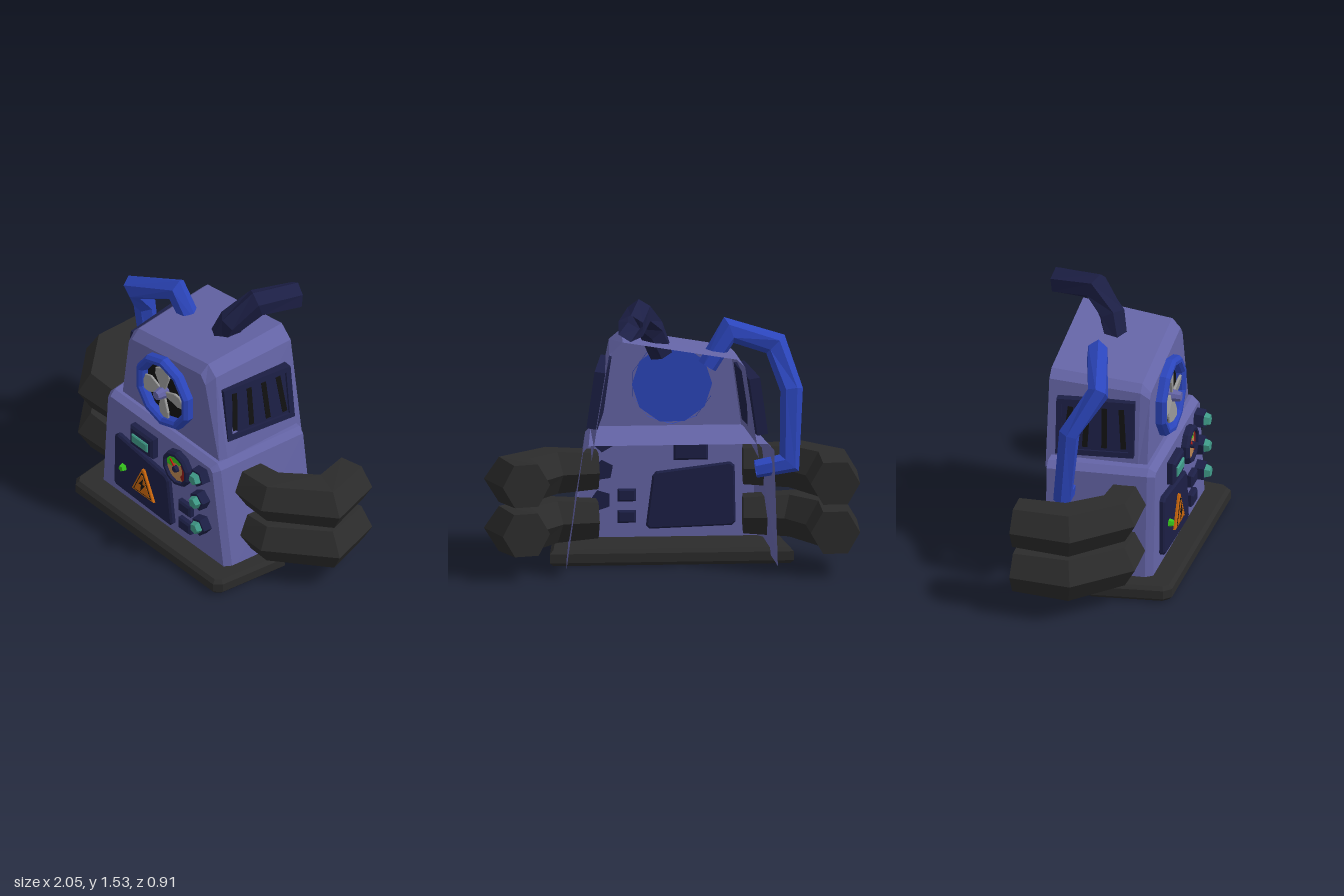
import * as THREE from 'three';

const C = {
  body: 0x6464a6, navy: 0x1c1f45, blue: 0x2b45bb, black: 0x2b2b2b, dark: 0x111111,
  teal: 0x3f9a88, orange: 0xc8650c, tan: 0xb88450, green: 0x35c41c, red: 0x8c1c18, steel: 0x999999,
};
const V = (x, y, z) => new THREE.Vector3(x, y, z);

function add(parent, geometry, color, name, x = 0, y = 0, z = 0) {
  const mat = new THREE.MeshStandardMaterial({ color, flatShading: true, side: THREE.DoubleSide });
  const m = new THREE.Mesh(geometry, mat);
  m.name = name;
  m.position.set(x, y, z);
  parent.add(m);
  return m;
}

// Skin a list of cross-sections (counter-clockwise seen from the end side)
function loft(rings, closed, capStart, capEnd) {
  const pos = [];
  const tri = (...p) => p.forEach((v) => pos.push(v.x, v.y, v.z));
  const n = rings[0].length;
  for (let i = 0; i < rings.length - 1; i++) {
    for (let j = 0; j < (closed ? n : n - 1); j++) {
      const k = (j + 1) % n, a = rings[i], b = rings[i + 1];
      tri(a[j], a[k], b[j]);
      tri(a[k], b[k], b[j]);
    }
  }
  const first = rings[0], last = rings[rings.length - 1];
  for (let j = 1; j < n - 1; j++) {
    if (capStart) tri(first[0], first[j + 1], first[j]);
    if (capEnd) tri(last[0], last[j], last[j + 1]);
  }
  const g = new THREE.BufferGeometry();
  g.setAttribute('position', new THREE.Float32BufferAttribute(pos, 3));
  g.computeVertexNormals();
  return g;
}

// Angular pipe with mitred bends; ref is roughly square to the bend plane
function pipe(points, radii, sides, ref, caps) {
  const pts = points.map((p) => V(...p));
  const rings = pts.map((p, i) => {
    const d0 = (i ? p.clone().sub(pts[i - 1]) : pts[1].clone().sub(p)).normalize();
    const d1 = (i < pts.length - 1 ? pts[i + 1].clone().sub(p) : d0.clone()).normalize();
    const t = d0.clone().add(d1).normalize();
    const a = ref.clone().addScaledVector(t, -ref.dot(t)).normalize();
    const b = t.clone().cross(a).divideScalar(t.dot(d0));
    return Array.from({ length: sides }, (_, j) => {
      const w = ((j + 0.5) / sides) * Math.PI * 2;
      return p.clone().addScaledVector(a, Math.cos(w) * radii[i]).addScaledVector(b, Math.sin(w) * radii[i]);
    });
  });
  return loft(rings, true, caps, caps);
}

// Flat outline given thickness towards +z, with a small bevel
function plate(pts, depth, bevel = 0.008) {
  const s = new THREE.Shape(pts.map((p) => new THREE.Vector2(...p)));
  return new THREE.ExtrudeGeometry(s, {
    depth: depth - bevel, bevelEnabled: bevel > 0, bevelThickness: bevel, bevelSize: bevel, bevelOffset: -bevel, bevelSegments: 1,
  });
}
const rect = (w, h) => [[-w / 2, -h / 2], [w / 2, -h / 2], [w / 2, h / 2], [-w / 2, h / 2]];
const drum = (r0, r1, h, n) => new THREE.CylinderGeometry(r1, r0, h, n).rotateX(Math.PI / 2);

export function createModel() {
  const g = new THREE.Group();
  g.name = 'machine';
  const section = (z, pts) => pts.map(([x, y]) => V(x, y, z));

  // Front base slab
  const slab = plate([[-0.67, 0], [0.665, 0], [0.625, -0.41], [0.59, -0.45], [-0.57, -0.45], [-0.61, -0.41]], 0.07, 0.02);
  add(g, slab.rotateX(-Math.PI / 2), C.black, 'baseSlab', 0, 0.02, 0);

  // Lower and upper shells, open at the back and bottom
  add(g, loft([
    section(-0.27, [[0.59, 0.05], [0.5, 0.7], [0.47, 0.735], [-0.51, 0.735], [-0.545, 0.7], [-0.565, 0.05]]),
    section(0.28, [[0.555, 0.05], [0.455, 0.69], [0.425, 0.725], [-0.44, 0.725], [-0.475, 0.69], [-0.52, 0.05]]),
    section(0.32, [[0.53, 0.05], [0.43, 0.68], [0.41, 0.7], [-0.43, 0.7], [-0.45, 0.68], [-0.49, 0.05]]),
  ], false, false, true), C.body, 'lowerBody');
  add(g, loft([
    section(-0.3, [[0.455, 0.66], [0.36, 1.25], [0.285, 1.32], [-0.34, 1.215], [-0.385, 1.17], [-0.46, 0.66]]),
    section(0.21, [[0.435, 0.7], [0.33, 1.225], [0.265, 1.28], [-0.32, 1.18], [-0.36, 1.14], [-0.41, 0.7]]),
    section(0.26, [[0.42, 0.7], [0.3, 1.18], [0.26, 1.23], [-0.32, 1.13], [-0.345, 1.1], [-0.4, 0.7]]),
  ], false, false, true), C.body, 'upperBody');

  // Fan: ten-sided bezel, dark backing, four blades and hub
  const fan = new THREE.Group();
  fan.name = 'fan';
  fan.position.set(-0.018, 0.96, 0.26);
  g.add(fan);
  const rim = [[0.165, 0.005], [0.175, 0.04], [0.19, 0.055], [0.21, 0.055], [0.225, 0.035], [0.225, -0.015]];
  add(fan, new THREE.LatheGeometry(rim.map((p) => new THREE.Vector2(...p)).reverse(), 10).rotateX(Math.PI / 2), C.blue, 'fanBezel');
  add(fan, new THREE.CircleGeometry(0.22, 10), C.blue, 'fanBackPlate', 0, 0, -0.015);
  add(fan, new THREE.CircleGeometry(0.18, 10), C.dark, 'fanRecess', 0, 0, 0.008);
  for (let i = 0; i < 4; i++) {
    const arm = new THREE.Group();
    arm.name = 'fanBlade';
    arm.rotation.z = i * Math.PI / 2 + 0.06;
    fan.add(arm);
    const blade = add(arm, plate([[-0.015, 0.02], [0.015, 0.02], [0.05, 0.11], [0.04, 0.155], [0, 0.165], [-0.045, 0.15], [-0.05, 0.11]], 0.012, 0.003), C.steel, 'blade', 0, 0, 0.025);
    blade.rotation.y = 0.2;
  }
  add(fan, drum(0.04, 0.026, 0.07, 8), C.body, 'fanHub', 0, 0, 0.05);

  // Slotted vents on both sides of the upper body
  for (const [s, x, y] of [[1, 0.39, 0.98], [-1, -0.425, 0.935]]) {
    const vent = new THREE.Group();
    vent.name = s > 0 ? 'leftVent' : 'rightVent';
    vent.position.set(x, y, -0.025);
    vent.rotation.set(0, -s * 0.14, s * 0.14);
    g.add(vent);
    add(vent, new THREE.BoxGeometry(0.045, 0.32, 0.43), C.navy, 'ventPanel');
    for (const e of [-1, 1]) {
      add(vent, new THREE.BoxGeometry(0.02, 0.03, 0.43), C.navy, 'ventRail', s * 0.028, e * 0.145, 0);
      add(vent, new THREE.BoxGeometry(0.02, 0.32, 0.03), C.navy, 'ventRail', s * 0.028, 0, e * 0.2);
    }
    for (let i = 0; i < 4; i++) {
      const slot = add(vent, new THREE.BoxGeometry(0.008, 0.23, 0.03), C.dark, 'ventSlot', s * 0.022, 0, 0.15 - i * 0.1);
      slot.rotation.x = 0.06 * (i - 1.2);
    }
  }

  // Access door with warning sign and latch
  const door = [[-0.37, 0.17], [-0.35, 0.15], [0.1, 0.135], [0.12, 0.155], [0.085, 0.43], [0.065, 0.455], [-0.34, 0.505], [-0.365, 0.485]];
  add(g, plate(door, 0.035, 0.01), C.navy, 'accessDoor', 0, 0, 0.315);
  const tri = (s) => [[-0.092 * s, -0.06 * s], [0.092 * s, -0.06 * s], [0.008 * s, 0.115 * s], [-0.008 * s, 0.115 * s]];
  add(g, plate(tri(1), 0.015, 0.004), C.orange, 'warningSign', -0.108, 0.288, 0.35);
  add(g, plate(tri(0.8), 0.003, 0), C.dark, 'warningBorder', -0.108, 0.288, 0.364);
  add(g, plate(tri(0.7), 0.003, 0), C.orange, 'warningField', -0.108, 0.288, 0.366);
  add(g, plate([[0.012, 0.06], [-0.025, 0.012], [-0.004, 0.012], [-0.012, -0.035], [0.026, 0.02], [0.004, 0.02]], 0.003, 0), C.dark, 'warningBolt', -0.108, 0.288, 0.368);
  add(g, drum(0.026, 0.018, 0.03, 5), C.green, 'doorLatch', -0.28, 0.315, 0.36);

  // Small display and two push buttons
  add(g, plate(rect(0.19, 0.13), 0.05, 0.012), C.navy, 'displayFrame', -0.125, 0.583, 0.315);
  add(g, plate(rect(0.13, 0.055), 0.015, 0.006), C.teal, 'displayScreen', -0.125, 0.583, 0.362);
  for (const y of [0.325, 0.205]) add(g, plate(rect(0.1, 0.07), 0.04, 0.01), C.navy, 'pushButton', 0.225, y, 0.315);

  // Round gauge
  const gauge = new THREE.Group();
  gauge.name = 'gauge';
  gauge.position.set(0.162, 0.568, 0.32);
  g.add(gauge);
  const bezel = [[0.11, 0], [0.11, 0.03], [0.1, 0.045], [0.085, 0.045], [0.082, 0.025]];
  add(gauge, new THREE.LatheGeometry(bezel.map((p) => new THREE.Vector2(...p)), 10).rotateX(Math.PI / 2), C.navy, 'gaugeBezel');
  add(gauge, new THREE.CircleGeometry(0.088, 10), C.tan, 'gaugeFace', 0, 0, 0.028);
  add(gauge, new THREE.RingGeometry(0.035, 0.084, 6, 1, 0.9, 2.3), C.green, 'gaugeGreenZone', 0, 0, 0.031);
  add(gauge, new THREE.RingGeometry(0.05, 0.084, 5, 1, -0.9, 1.7), C.red, 'gaugeRedZone', 0, 0, 0.031);
  add(gauge, new THREE.BoxGeometry(0.012, 0.07, 0.006).translate(0, 0.03, 0), 0xc82014, 'gaugeNeedle', 0, 0, 0.036).rotation.z = 0.8;
  add(gauge, drum(0.022, 0.018, 0.02, 8), C.navy, 'gaugeHub', 0, 0, 0.038);

  // Five-sided knobs
  for (const [x, y, r] of [[0.355, 0.625, 0.1], [0.355, 0.465, 0.5], [0.367, 0.297, 0.3]]) {
    add(g, drum(0.06, 0.055, 0.055, 5), C.navy, 'knobBase', x, y, 0.345).rotation.z = r;
    add(g, drum(0.042, 0.03, 0.035, 5), C.teal, 'knobCap', x, y, 0.385).rotation.z = r;
  }

  // Stacked, bent rubber hoses on each side
  const up = V(0, 1, 0), radii = [0.115, 0.135, 0.145, 0.135];
  for (const y of [0.525, 0.25]) {
    add(g, pipe([[0.4, y, 0.09], [0.65, y, 0.075], [0.87, y - 0.005, -0.13], [0.815, y + 0.01, -0.355]], radii, 6, up, true), C.black, 'leftHose');
    add(g, pipe([[-0.4, y, 0.16], [-0.68, y, 0.155], [-0.87, y - 0.005, -0.06], [-0.875, y, -0.35]], radii, 6, up, true), C.black, 'rightHose');
  }

  // Looping side pipe
  add(g, pipe([[-0.45, 0.57, -0.16], [-0.635, 0.6, -0.15], [-0.65, 1.0, -0.11], [-0.57, 1.225, 0.03], [-0.31, 1.325, -0.05], [-0.19, 1.13, -0.075]],
    [0.05, 0.055, 0.06, 0.06, 0.06, 0.055], 6, V(0, 0, 1), false), C.blue, 'loopPipe');

  // Bent exhaust, hollow at its mouth
  add(g, pipe([[0.06, 1.2, -0.05], [0.115, 1.34, -0.085], [0.19, 1.455, -0.2], [0.25, 1.428, -0.437]],
    [0.07, 0.075, 0.075, 0.078], 6, V(1, 0, 0), false), C.navy, 'exhaustPipe');

  return g;
}
